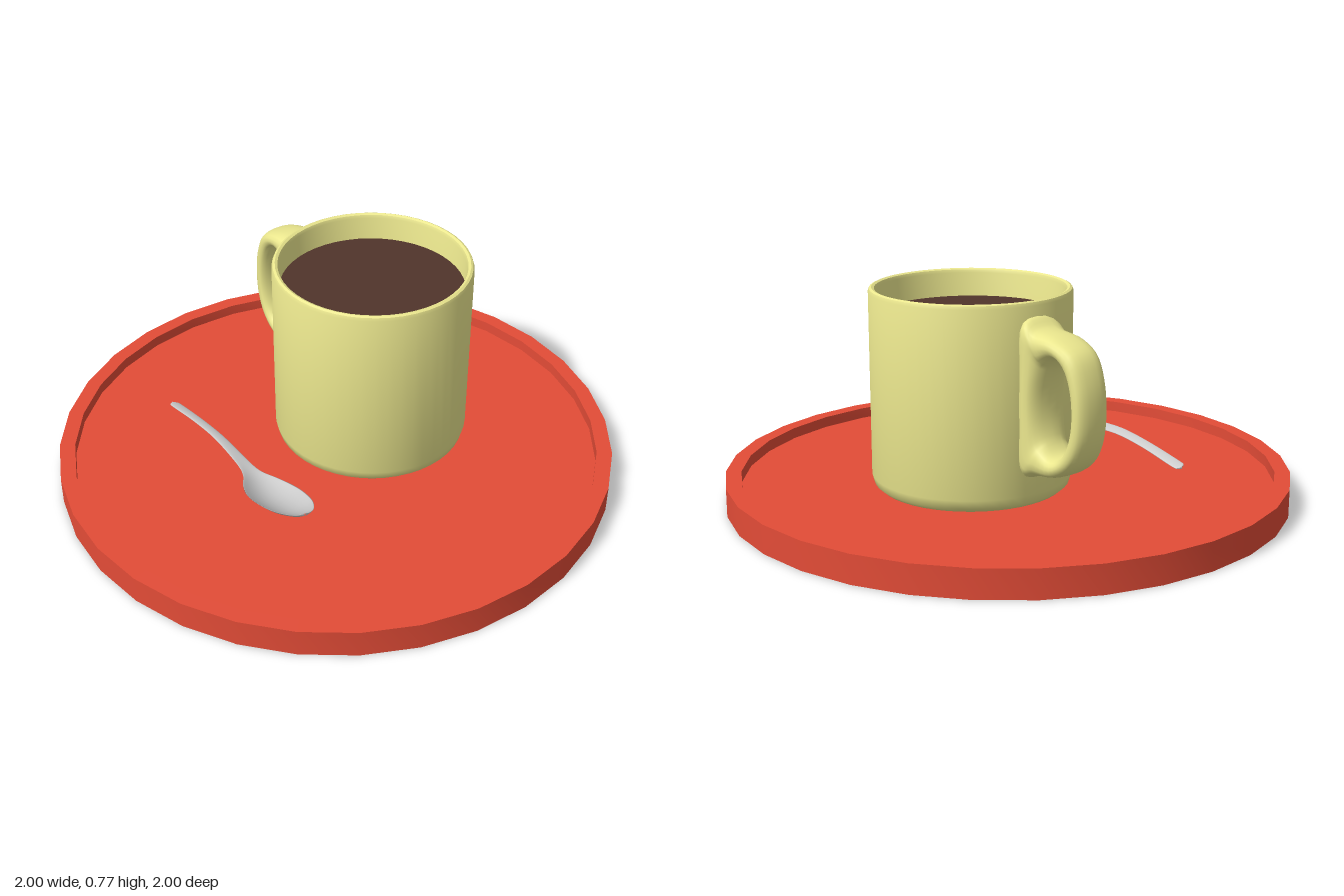
import * as THREE from 'three';
import { toCreasedNormals } from 'three/addons/utils/BufferGeometryUtils.js';

function part(name, geometry, color) {
  const mesh = new THREE.Mesh(geometry, new THREE.MeshStandardMaterial({ color }));
  mesh.name = name;
  return mesh;
}

// Turned shape, smooth around its axis with crisp profile corners
function turned(profile, sides) {
  const points = profile.map(([r, y]) => new THREE.Vector2(r, y));
  return toCreasedNormals(new THREE.LatheGeometry(points, sides), 0.75);
}

// Skin over closed cross-sections; 'loop' joins the last section to the first
function loft(sections, loop) {
  const n = sections.length, m = sections[0].length, index = [];
  for (let i = 0; i < (loop ? n : n - 1); i++) {
    for (let j = 0; j < m; j++) {
      const a = i * m + j, b = ((i + 1) % n) * m + j;
      const c = i * m + (j + 1) % m, d = ((i + 1) % n) * m + (j + 1) % m;
      index.push(a, b, c, b, d, c);
    }
  }
  const geometry = new THREE.BufferGeometry();
  geometry.setAttribute('position', new THREE.Float32BufferAttribute(sections.flat(2), 3));
  geometry.setIndex(index);
  geometry.computeVertexNormals();
  return geometry;
}

// Ear handle: rounded sections spanning an oval hole and a free outer outline
function handleGeometry() {
  const outline = new THREE.CatmullRomCurve3([
    [-0.635, 0.44], [-0.622, 0.34], [-0.58, 0.265], [-0.5, 0.215], [-0.4, 0.197],
    [-0.355, 0.18], [-0.335, 0.2], [-0.335, 0.35], [-0.335, 0.55], [-0.335, 0.71],
    [-0.355, 0.72], [-0.4, 0.69], [-0.49, 0.675], [-0.58, 0.635], [-0.622, 0.55],
  ].map(([x, y]) => new THREE.Vector3(x, y, 0)), true);
  const cx = -0.495, cy = 0.445, sections = [];
  for (let i = 0; i < 64; i++) {
    const o = outline.getPoint(i / 64);
    const angle = Math.atan2((o.y - cy) / 0.25, (o.x - cx) / 0.14);
    const ix = cx + 0.08 * Math.cos(angle), iy = cy + 0.165 * Math.sin(angle);
    const section = [];
    for (let j = 0; j < 20; j++) {
      const phi = (j / 20) * Math.PI * 2;
      const round = (v) => Math.sign(v) * Math.abs(v) ** 0.8;
      const k = 0.5 + 0.5 * round(Math.cos(phi));
      const x = ix + (o.x - ix) * k, y = iy + (o.y - iy) * k;
      const halfWidth = 0.064 + (x + 0.635) * 0.08;
      section.push([x, y, halfWidth * round(Math.sin(phi))]);
    }
    sections.push(section);
  }
  return loft(sections, true);
}

// Spoon: thin sections along x, dished in the bowl and rolled to one side
function spoonGeometry() {
  // x, centre z, half width, rim height, dish depth
  const stations = [
    [-0.487, 0.39, 0.002, 0.128, 0], [-0.48, 0.39, 0.014, 0.129, 0],
    [-0.455, 0.39, 0.02, 0.133, 0], [-0.3, 0.398, 0.019, 0.163, 0],
    [-0.15, 0.406, 0.02, 0.18, 0], [0, 0.415, 0.025, 0.174, 0.003],
    [0.07, 0.422, 0.037, 0.172, 0.01], [0.13, 0.43, 0.07, 0.178, 0.028],
    [0.19, 0.436, 0.092, 0.187, 0.04], [0.25, 0.437, 0.098, 0.196, 0.042],
    [0.32, 0.437, 0.086, 0.206, 0.033], [0.37, 0.437, 0.056, 0.213, 0.016],
    [0.39, 0.437, 0.026, 0.216, 0.004], [0.395, 0.437, 0.002, 0.217, 0],
  ];
  const curve = (pick) => new THREE.CatmullRomCurve3(
    stations.map((s) => new THREE.Vector3(...pick(s))), false, 'catmullrom', 0.5);
  const plan = curve((s) => [s[0], s[1], s[2]]);
  const side = curve((s) => [s[3], s[4], 0]);
  const sections = [];
  for (let i = 0; i <= 52; i++) {
    const { x, y: z, z: halfWidth } = plan.getPoint(i / 52);
    const { x: rim, y: depth } = side.getPoint(i / 52);
    const section = [];
    for (let j = 0; j < 24; j++) {
      const phi = (j / 24) * Math.PI * 2, s = Math.cos(phi);
      const y = rim + 0.28 * s * halfWidth - depth * (1 - s * s) + 0.005 * Math.sin(phi);
      section.push([x, y, z + s * halfWidth]);
    }
    sections.push(section);
  }
  return loft(sections, false);
}

export function createModel() {
  const model = new THREE.Group();
  model.name = 'coffeeTray';

  // Round tray with a raised rim
  model.add(part('tray', turned([
    [0, 0], [1, 0], [1, 0.1], [0.945, 0.1], [0.945, 0.06], [0, 0.06],
  ], 32), 0xe34c37));

  // Mug with its handle and drink, set towards the back
  const mug = new THREE.Group();
  mug.name = 'mug';
  mug.position.z = -0.163;
  mug.add(part('mugBody', turned([
    [0, 0.065], [0.305, 0.065], [0.325, 0.07], [0.342, 0.085], [0.35, 0.115],
    [0.35, 0.755], [0.346, 0.766], [0.338, 0.77], [0.329, 0.766], [0.325, 0.755],
    [0.325, 0.1], [0, 0.1],
  ], 48), 0xebe78e));
  mug.add(part('mugHandle', handleGeometry(), 0xebe78e));
  const coffee = part('coffee', new THREE.CircleGeometry(0.326, 48), 0x50352b);
  coffee.rotation.x = -Math.PI / 2;
  coffee.position.y = 0.67;
  mug.add(coffee);
  model.add(mug);

  // Teaspoon in front of the mug
  model.add(part('spoon', spoonGeometry(), 0xcccccc));
  return model;
}
